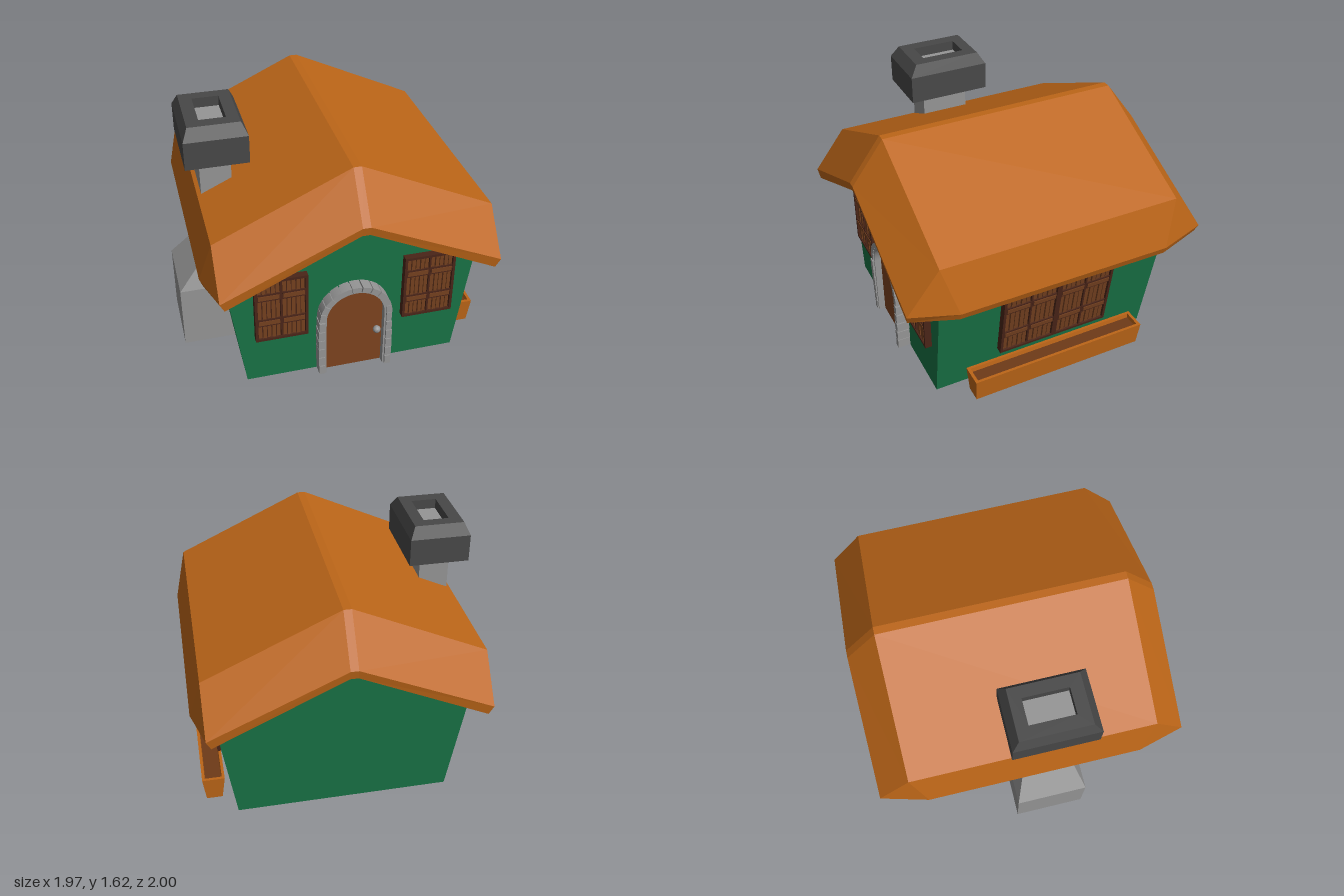
import * as THREE from 'three';

const mat = (color) => new THREE.MeshStandardMaterial({ color, flatShading: true });
const ROOF = mat(0xbd6618), GREEN = mat(0x187245), STONE = mat(0x959595), CAP = mat(0x484848);
const DARK = mat(0x4a2518), PLANK = mat(0x74401f), DOOR = mat(0x7d431f), SOIL = mat(0x6e3a18);

function add(parent, name, geo, material, x = 0, y = 0, z = 0) {
  const m = new THREE.Mesh(geo, material);
  m.name = name;
  m.position.set(x, y, z);
  parent.add(m);
  return m;
}
const box = (p, name, w, h, d, m, x, y, z) => add(p, name, new THREE.BoxGeometry(w, h, d), m, x, y, z);

// Flat-faced skin over closed rings of equal point count
function loft(rings, capStart = true, capEnd = true, extraQuads = []) {
  const v = [];
  const tri = (a, b, c) => v.push(...a, ...b, ...c);
  const quad = (a, b, c, d) => { tri(a, b, c); tri(a, c, d); };
  const n = rings[0].length;
  for (let k = 0; k < rings.length - 1; k++) {
    for (let i = 0; i < n; i++) {
      const j = (i + 1) % n;
      quad(rings[k][i], rings[k][j], rings[k + 1][j], rings[k + 1][i]);
    }
  }
  const first = rings[0], last = rings[rings.length - 1];
  for (let i = 1; i < n - 1; i++) {
    if (capStart) tri(first[0], first[i + 1], first[i]);
    if (capEnd) tri(last[0], last[i], last[i + 1]);
  }
  extraQuads.forEach((q) => quad(...q));
  const g = new THREE.BufferGeometry();
  g.setAttribute('position', new THREE.Float32BufferAttribute(v, 3));
  g.computeVertexNormals();
  return g;
}
const rect = (x0, x1, z0, z1, y) => [[x0, y, z1], [x1, y, z1], [x1, y, z0], [x0, y, z0]];

const CX = 0.045; // ridge line of the house

// Walls: pentagon gable, wider at the eaves, back leaning out
function walls(g) {
  const ring = (zBase, zEave, zTop) => [
    [-0.645, 0, zBase], [0.735, 0, zBase], [0.847, 0.79, zEave], [CX, 1.16, zTop], [-0.757, 0.79, zEave],
  ];
  add(g, 'walls', loft([ring(-0.73, -0.77, -0.79), ring(0.78, 0.78, 0.78)]), GREEN);
}

// Roof: rings from the underside at the walls, out to the rim, up to the ridge
function roof(g) {
  const ring = (halfX, eaveY, ridgeY, z, sideX, sideY, sideZ) => {
    const row = [[-halfX, eaveY], [-0.025, ridgeY], [0.025, ridgeY], [halfX, eaveY]];
    const front = row.map(([x, y]) => [CX + x, y, z]);
    const back = row.map(([x, y]) => [CX + x, y, -z]).reverse();
    return [
      ...front, [CX + sideX, sideY, sideZ], [CX + sideX, sideY, -sideZ],
      ...back, [CX - sideX, sideY, -sideZ], [CX - sideX, sideY, sideZ],
    ];
  };
  const top = ring(0.86, 1.1, 1.49, 0.79, 0.86, 1.1, 0.79);
  const rings = [
    ring(0.78, 0.79, 1.15, 0.755, 0.78, 0.79, 0.7),
    ring(0.832, 0.77, 1.153, 0.99, 0.915, 0.748, 0.7),
    ring(0.86, 0.83, 1.21, 1, 0.935, 0.8, 0.7),
    top,
  ];
  const slopes = [0, 1, 2].map((i) => [top[i], top[i + 1], top[8 - i], top[9 - i]]);
  add(g, 'roof', loft(rings, false, false, slopes), ROOF);
}

// Chimney: wide hearth tapering into a shaft, with a hollow bevelled cap
function chimney(g) {
  add(g, 'chimneyStack', loft([
    rect(-0.985, -0.595, -0.13, 0.34, 0),
    rect(-0.985, -0.595, -0.13, 0.34, 0.435),
    rect(-0.79, -0.595, -0.05, 0.26, 0.655),
    rect(-0.79, -0.595, -0.05, 0.26, 1.55),
  ]), STONE);
  add(g, 'chimneyCap', loft([
    rect(-0.77, -0.605, -0.04, 0.245, 1.36),
    rect(-0.885, -0.495, -0.16, 0.375, 1.36),
    rect(-0.885, -0.495, -0.16, 0.375, 1.54),
    rect(-0.85, -0.53, -0.115, 0.325, 1.615),
    rect(-0.77, -0.605, -0.04, 0.245, 1.615),
    rect(-0.77, -0.605, -0.04, 0.245, 1.5),
  ], false, false), CAP);
}

// Shuttered window facing +z, its back at z = 0
function shutteredWindow(w, h) {
  const g = new THREE.Group();
  const t = 0.017;
  box(g, 'backing', w, h, 0.022, DARK, 0, 0, 0.011);
  for (const s of [-1, 1]) {
    box(g, 'frameSide', t, h, 0.045, DARK, s * (w - t) / 2, 0, 0.0225);
    box(g, 'frameRail', w, t, 0.045, DARK, 0, s * (h - t) / 2, 0.0225);
    const leafW = w / 2 - t - 0.006;
    const cx = s * (leafW / 2 + 0.006);
    const pitch = leafW / 5;
    for (let i = 0; i < 5; i++) {
      box(g, 'plank', pitch * 0.78, h - 2 * t, 0.012, PLANK, cx + (i - 2) * pitch, 0, 0.026 + (i % 2) * 0.004);
    }
    for (const f of [0.225, -0.195]) {
      box(g, 'crossbarEdge', leafW, 0.052, 0.014, DARK, cx, f * h, 0.034);
      box(g, 'crossbar', leafW * 0.92, 0.03, 0.014, PLANK, cx, f * h, 0.038);
    }
  }
  box(g, 'middlePost', 0.012, h, 0.04, DARK, 0, 0, 0.02);
  return g;
}

function windows(g) {
  for (const x of [-0.42, 0.527]) {
    const win = shutteredWindow(0.333, 0.462);
    win.name = 'frontWindow';
    win.position.set(x, 0.571, 0.779);
    g.add(win);
  }
  // Pair on the left wall, leaning out with it
  for (const s of [-1, 1]) {
    const win = shutteredWindow(0.38, 0.522);
    win.name = 'sideWindow';
    win.rotation.set(0.141, Math.PI / 2, 0, 'YXZ');
    win.position.set(0.816, 0.485, -0.005 + s * 0.19);
    g.add(win);
  }
}

// Arched door inside a surround of uneven stones
function door(g) {
  const spring = 0.43, rIn = 0.192, rOut = 0.235;
  const extrude = (shape, depth) =>
    new THREE.ExtrudeGeometry(shape, { depth, bevelEnabled: false, curveSegments: 24 });
  const leaf = new THREE.Shape();
  leaf.moveTo(-rIn, 0).lineTo(rIn, 0).lineTo(rIn, spring);
  leaf.absarc(0, spring, rIn, 0, Math.PI, false);
  add(g, 'door', extrude(leaf, 0.025), DOOR, CX, 0, 0.778);
  add(g, 'doorKnob', new THREE.SphereGeometry(0.025, 16, 12), STONE, 0.195, 0.275, 0.822);

  const sector = (r0, r1, a0, a1, depth) => {
    const s = new THREE.Shape();
    s.absarc(0, 0, r1, a0, a1, false);
    s.absarc(0, 0, r0, a1, a0, true);
    return new THREE.ExtrudeGeometry(s, { depth, bevelEnabled: false, curveSegments: 6 });
  };
  const wobble = (i) => Math.sin(i * 12.9) * 0.005;
  const n = 11, step = Math.PI / n;
  for (let i = 0; i < n; i++) {
    add(g, 'archStone', sector(rIn + 0.008, rOut + wobble(i), i * step + 0.015, (i + 1) * step - 0.015, 0.08 + wobble(i + 3)),
      STONE, CX, spring, 0.779);
    add(g, 'archMortar', sector(rIn - 0.004, rOut - 0.01, i * step, (i + 1) * step, 0.068), STONE, CX, spring, 0.779);
  }
  const rows = 6, rowH = spring / rows;
  for (const s of [-1, 1]) {
    box(g, 'jambMortar', 0.029, spring, 0.068, STONE, CX + s * (rIn + 0.0105), spring / 2, 0.813);
    for (let i = 0; i < rows; i++) {
      const w = 0.037 + wobble(i * 2 + s), d = 0.08 + wobble(i + s * 4);
      box(g, 'jambStone', w, rowH - 0.007, d, STONE,
        CX + s * (rIn + 0.007 + w / 2), (i + 0.5) * rowH, 0.779 + d / 2);
    }
  }
}

// Flared planter trough under the side window
function planter(g) {
  add(g, 'planter', loft([
    rect(0.825, 0.928, -0.59, 0.59, 0.008),
    rect(0.802, 0.948, -0.6, 0.6, 0.172),
    rect(0.82, 0.93, -0.58, 0.58, 0.172),
    rect(0.824, 0.926, -0.578, 0.578, 0.135),
  ], true, false), ROOF);
  box(g, 'planterSoil', 0.108, 0.01, 1.16, SOIL, 0.875, 0.137, 0);
}

export function createModel() {
  const g = new THREE.Group();
  g.name = 'cottage';
  [walls, roof, chimney, windows, door, planter].forEach((build) => build(g));
  return g;
}
